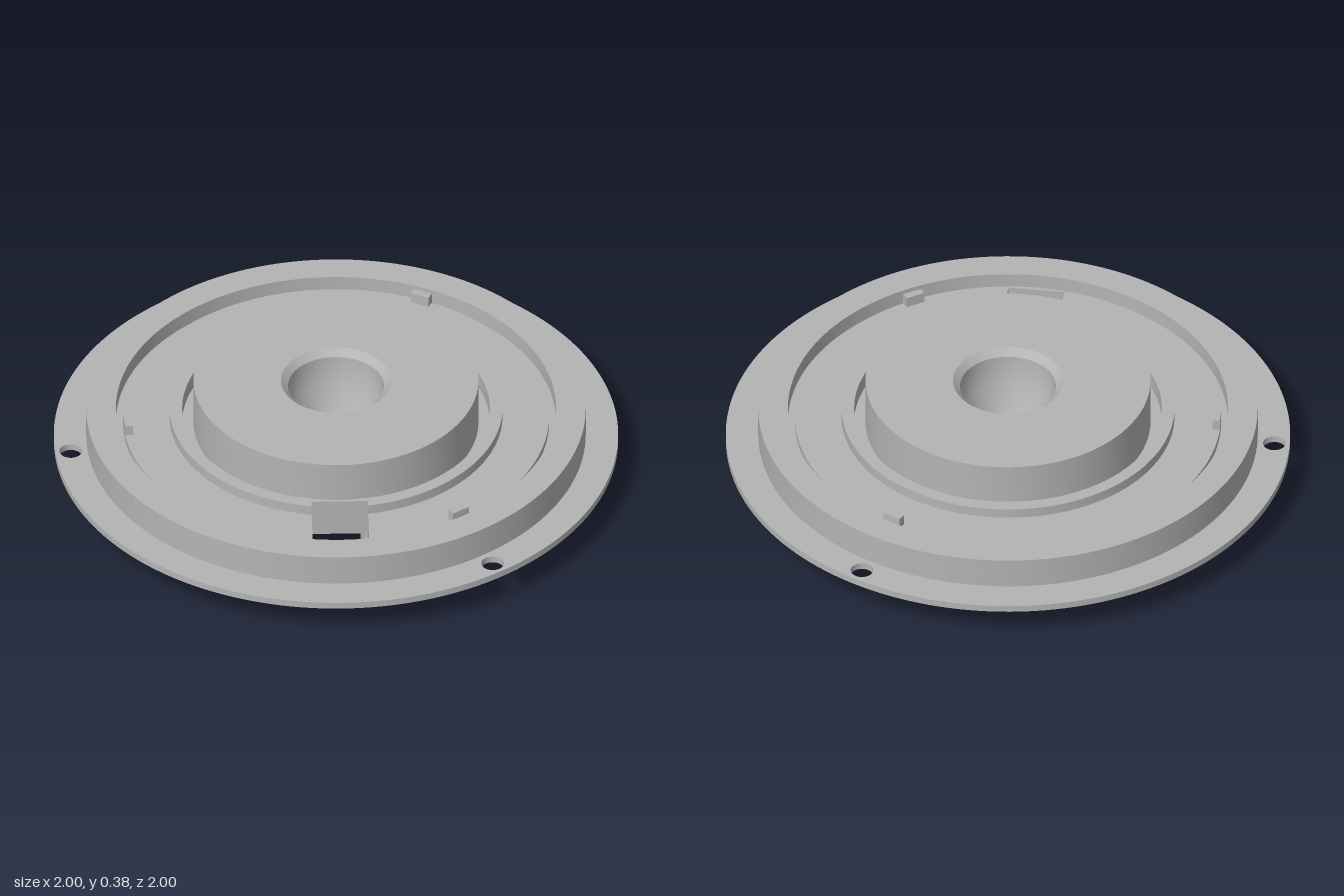
import * as THREE from 'three';
import { toCreasedNormals } from 'three/addons/utils/BufferGeometryUtils.js';

const grey = new THREE.MeshStandardMaterial({ color: 0xb4b4b4 });
grey.name = 'plain grey';

// Window position: distance from the axis, half size, and plan angle
const WIN = { near: 0.555, far: 0.742, half: 0.1, angle: Math.atan2(-0.59, 0.28) };

function circle(r, x = 0, y = 0) {
  return new THREE.Path().absarc(x, y, r, 0, Math.PI * 2, false);
}

// Point given along and across the window direction
function windowPoint(along, across) {
  return new THREE.Vector2(along, across).rotateAround(new THREE.Vector2(), WIN.angle);
}

function windowHole() {
  const { near, far, half } = WIN;
  return new THREE.Path([[near, -half], [far, -half], [far, half], [near, half]]
    .map(([a, b]) => windowPoint(a, b))).closePath();
}

function disc(r, x = 0, y = 0) {
  return new THREE.Shape().absarc(x, y, r, 0, Math.PI * 2, false);
}

export function createModel() {
  const model = new THREE.Group();
  model.name = 'roundMountingHousing';

  function add(name, geometry) {
    const mesh = new THREE.Mesh(toCreasedNormals(geometry, 0.5), grey);
    mesh.name = name;
    model.add(mesh);
    return mesh;
  }

  // Horizontal slab between two heights, cut by the given holes
  function slab(name, shape, holes, y0, y1, curveSegments = 96) {
    shape.holes.push(...holes);
    const g = new THREE.ExtrudeGeometry(shape, { depth: y1 - y0, bevelEnabled: false, curveSegments });
    g.rotateX(-Math.PI / 2);
    g.translate(0, y0, 0);
    return add(name, g);
  }

  // Thin flange with three screw holes
  const screws = [90, 210, 330].map((d) => {
    const a = THREE.MathUtils.degToRad(d);
    return circle(0.04, 0.945 * Math.cos(a), 0.945 * Math.sin(a));
  });
  slab('flange', disc(1), [...screws, windowHole(), circle(0.13)], 0.12, 0.145);

  // Raised body, outer rim and floor
  slab('body', disc(0.885), [windowHole(), circle(0.2)], 0.145, 0.2);
  slab('outerRim', disc(0.885), [circle(0.78)], 0.2, 0.26);
  slab('floor', disc(0.755), [windowHole(), circle(0.545)], 0.2, 0.225);

  // Inner ring, notched by the window
  const ringR = 0.59;
  const a0 = Math.asin(WIN.half / ringR);
  const ring = new THREE.Shape();
  ring.absarc(0, 0, ringR, WIN.angle + a0, WIN.angle - a0 + Math.PI * 2, false);
  for (const across of [-WIN.half, WIN.half]) {
    const p = windowPoint(WIN.near, across);
    ring.lineTo(p.x, p.y);
  }
  ring.closePath();
  slab('innerRing', ring, [circle(0.545)], 0.225, 0.262);

  // Central hub with chamfered, tapering bore and lower collar
  const profile = [
    [0.505, 0.2], [0.505, 0.385], [0.195, 0.385], [0.17, 0.36], [0.165, 0.24],
    [0.095, 0.12], [0.095, 0.07], [0.13, 0.07], [0.13, 0.125],
  ].map(([r, y]) => new THREE.Vector2(r, y));
  add('hub', new THREE.LatheGeometry(profile, 96));

  // Three small retaining tabs on the edge of the floor
  for (const d of [90, 210, 330]) {
    const a = THREE.MathUtils.degToRad(d);
    const tab = add('retainingTab', new THREE.BoxGeometry(0.027, 0.045, 0.07));
    tab.position.set(0.741 * Math.cos(a), 0.2425, -0.741 * Math.sin(a));
    tab.rotation.y = a;
  }

  // Four hollow mounting posts underneath
  for (const x of [-0.35, 0.35]) {
    for (const z of [-0.35, 0.35]) {
      const post = slab('mountingPost', disc(0.09), [circle(0.042)], 0, 0.12, 32);
      post.position.set(x, 0, z);
    }
  }

  return model;
}
